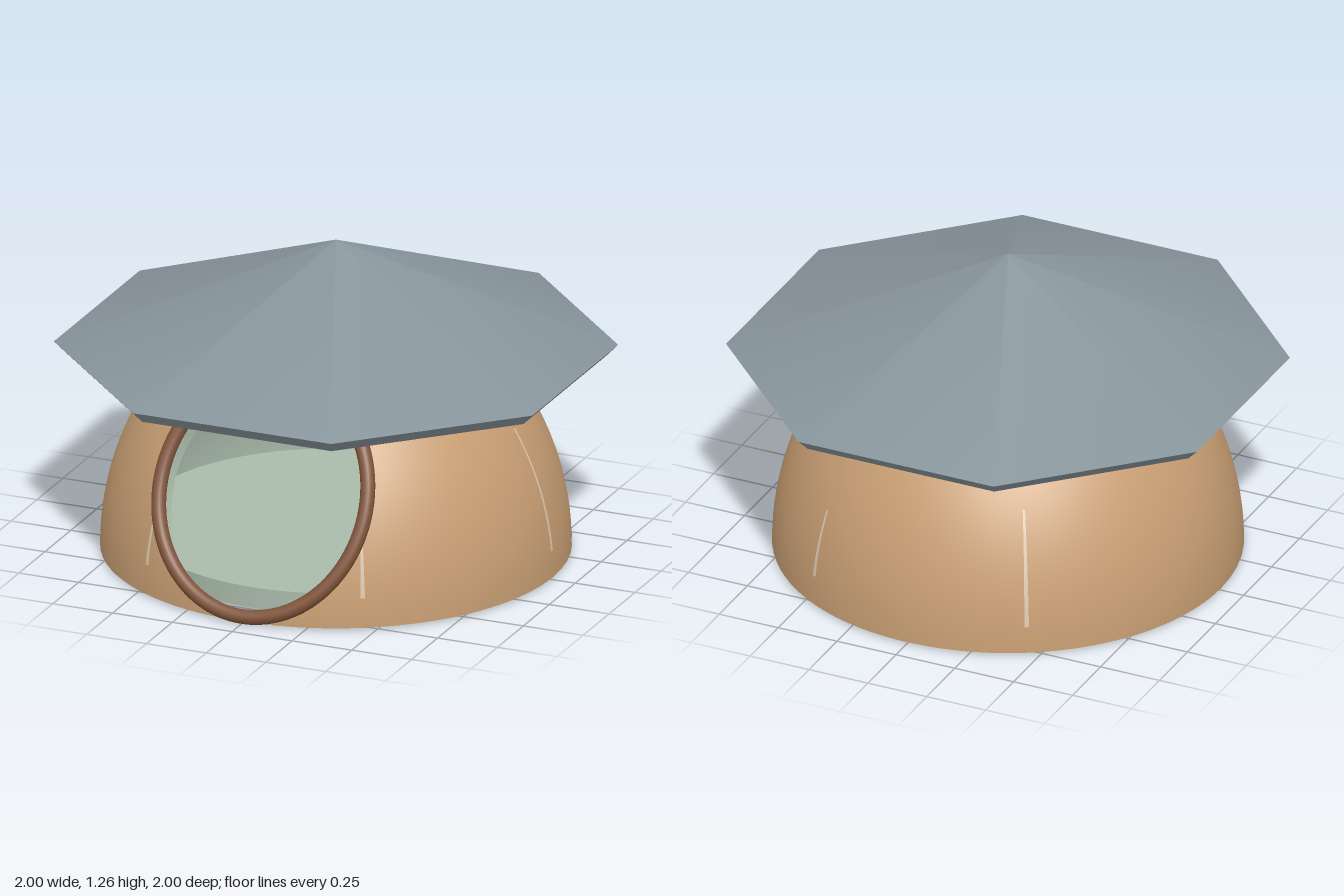
import * as THREE from 'three';

const mat = (name, color, side = THREE.FrontSide) => {
  const m = new THREE.MeshStandardMaterial({ color, side });
  m.name = name;
  return m;
};

// Surface through equal-length rows of points
function loft(rows) {
  const n = rows[0].length, pos = [], idx = [];
  rows.forEach(r => r.forEach(p => pos.push(p.x, p.y, p.z)));
  for (let j = 0; j < rows.length - 1; j++)
    for (let i = 0; i < n - 1; i++) {
      const a = j * n + i, c = a + n;
      idx.push(a, a + 1, c, a + 1, c + 1, c);
    }
  const g = new THREE.BufferGeometry();
  g.setAttribute('position', new THREE.Float32BufferAttribute(pos, 3));
  g.setIndex(idx);
  g.computeVertexNormals();
  return g;
}

// Dome rows sweep from the tilted round doorway to the ground circle
const TILT = 0.496, CUT = TILT + 0.012, SEG = 128, ROWS = 32;
function domeRows(radius, height) {
  const rows = [];
  const s = Math.sin(TILT), c = Math.cos(TILT);
  for (let j = 0; j <= ROWS; j++) {
    const row = [];
    for (let i = 0; i <= SEG; i++) {
      const psi = (i / SEG) * Math.PI * 2;
      const end = Math.atan2(s, -Math.cos(psi) * c);
      const start = Math.min(CUT, end);
      const a = start + (end - start) * j / ROWS;
      const up = Math.sin(a) * Math.cos(psi);
      row.push(new THREE.Vector3(
        Math.sin(a) * Math.sin(psi) * radius,
        Math.max(0, Math.cos(a) * s + up * c) * height + 0.01,
        (Math.cos(a) * c - up * s) * radius));
    }
    rows.push(row);
  }
  return rows;
}

export function createModel() {
  const model = new THREE.Group();
  const clay = mat('clay', 0xc99f74);
  const lining = mat('pale green lining', 0xa9bbaa);
  const slate = mat('slate roof', 0x87949b);
  const wood = mat('brown trim', 0x80543a);
  const pale = mat('pale seam', 0xdcc8b0, THREE.DoubleSide);
  const add = (name, geo, material) => {
    const m = new THREE.Mesh(geo, material);
    m.name = name;
    model.add(m);
    return m;
  };

  // Hollow dome: outside, inside, doorway edge and ground rim
  const R = 0.905, H = 1.03;
  const outer = domeRows(R, H), inner = domeRows(0.828, 0.95);
  add('domeOuter', loft(outer), clay);
  add('domeInner', loft([...inner].reverse()), lining);
  add('doorwayEdge', loft([inner[0], outer[0]]), lining);
  add('domeRim', loft([outer[ROWS], inner[ROWS]]), clay);

  // Raised floor
  add('floor', new THREE.CylinderGeometry(0.78, 0.78, 0.085, 96), lining).position.y = 0.0625;

  // Round trim following the sloped doorway
  const path = [];
  for (let i = 0; i < 48; i++) {
    const t = (i / 48) * Math.PI * 2;
    const y = 0.458 + 0.428 * Math.cos(t);
    path.push(new THREE.Vector3(0.428 * Math.sin(t), y, 0.918 - 0.475 * y));
  }
  add('doorTrim', new THREE.TubeGeometry(
    new THREE.CatmullRomCurve3(path, true), 128, 0.029, 14, true), wood);

  // Narrow seams on the dome: angle from the front, bottom, top
  const seams = [[30, 0.13, 0.33], [90, 0.12, 0.6], [150, 0.13, 0.4],
    [210, 0.12, 0.56], [330, 0.13, 0.33]];
  for (const [deg, y0, y1] of seams) {
    const cols = [-0.009, 0.009].map(off => {
      const col = [];
      for (let i = 0; i <= 12; i++) {
        const y = y0 + (y1 - y0) * i / 12;
        const r = R * Math.sqrt(1 - ((y - 0.01) / H) ** 2) + 0.003;
        const a = THREE.MathUtils.degToRad(deg) + off * (1 - 0.5 * i / 12) / r;
        col.push(new THREE.Vector3(r * Math.sin(a), y, r * Math.cos(a)));
      }
      return col;
    });
    add('domeSeam', loft([cols[1], cols[0]]), pale);
  }

  // Small peg between the dome and the roof
  add('roofPeg', new THREE.ConeGeometry(0.05, 0.14, 12), clay).position.set(0.29, 1.03, 0);

  // Octagonal roof: slopes, bevelled eave and hollow underside
  const k = 1 / Math.cos(Math.PI / 8);
  const octagon = (...pts) => new THREE.LatheGeometry(
    pts.map(([r, y]) => new THREE.Vector2(r * k, y)), 8, Math.PI / 8);
  add('roofTop', octagon([1, 0.835], [0, 1.26]), slate);
  add('roofEave', octagon([0.955, 0.787], [1, 0.835]), slate);
  add('roofUnderside', octagon([0, 1.2], [0.955, 0.787]), slate);

  return model;
}
